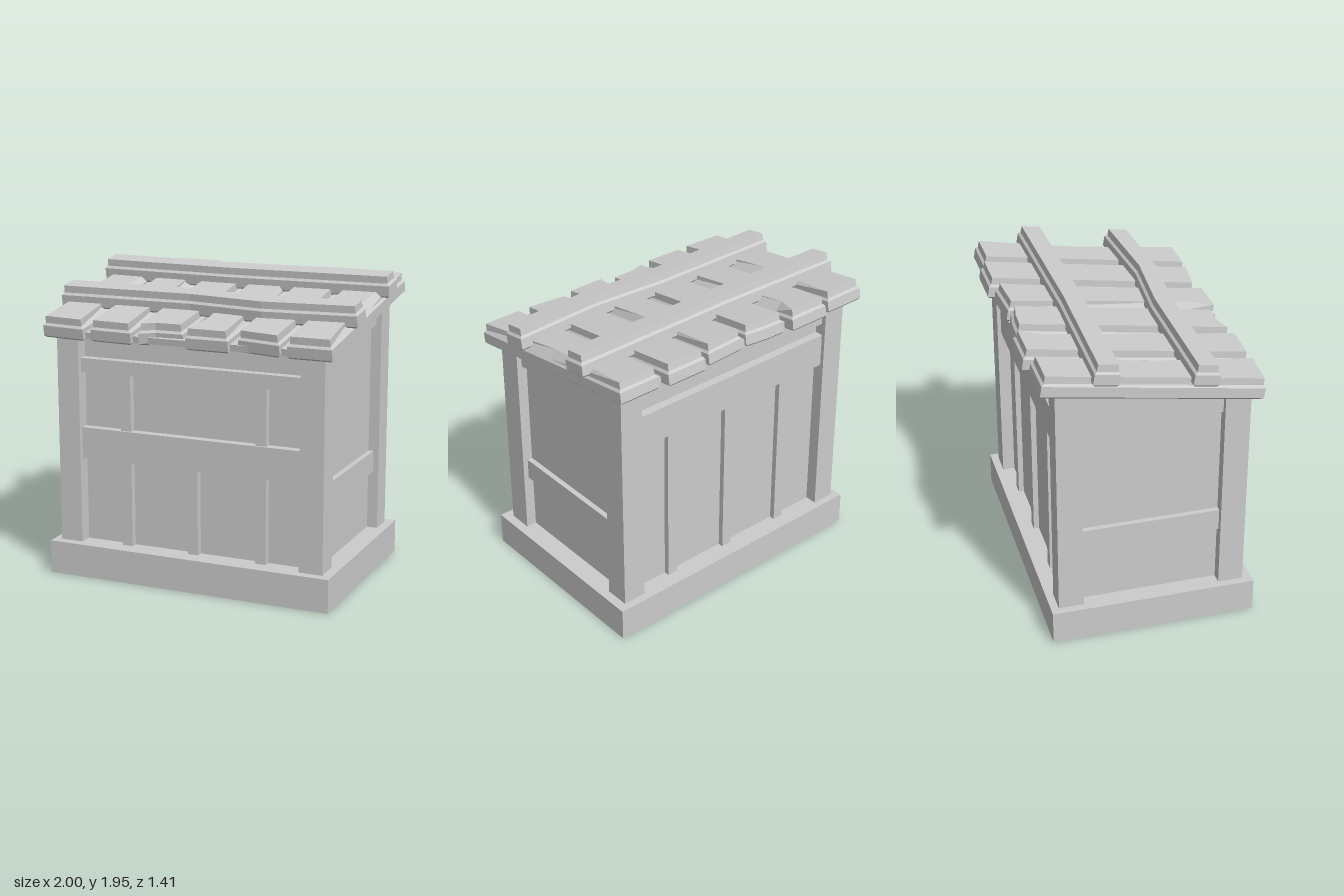
import * as THREE from 'three';

const material = new THREE.MeshStandardMaterial({ color: 0xcccccc, flatShading: true });

// Underside of the sloping roof: high at the back, low at the front
const PITCH = Math.atan(0.155);
const EAVE = 1.655;
const roofY = (z) => EAVE - 0.155 * z;

// Box between limits; y limits may be functions of z for sloping ends
function block(name, [x0, x1], [y0, y1], [z0, z1]) {
  const geo = new THREE.BoxGeometry(1, 1, 1);
  const p = geo.attributes.position;
  const at = (v, z) => (typeof v === 'function' ? v(z) : v);
  for (let i = 0; i < p.count; i++) {
    const x = p.getX(i) < 0 ? x0 : x1;
    const z = p.getZ(i) < 0 ? z0 : z1;
    p.setXYZ(i, x, at(p.getY(i) < 0 ? y0 : y1, z), z);
  }
  geo.computeVertexNormals();
  const mesh = new THREE.Mesh(geo, material);
  mesh.name = name;
  return mesh;
}

// Moves every edge of a plan outline inwards by t
function inset(outline, t) {
  const n = outline.length;
  const normal = (a, b) => {
    const dx = b[0] - a[0], dz = b[1] - a[1], l = Math.hypot(dx, dz);
    return [dz / l, -dx / l];
  };
  return outline.map((p, i) => {
    const a = normal(outline[(i + n - 1) % n], p);
    const b = normal(p, outline[(i + 1) % n]);
    const k = t / (1 + a[0] * b[0] + a[1] * b[1]);
    return [p[0] + (a[0] + b[0]) * k, p[1] + (a[1] + b[1]) * k];
  });
}

// Hewn board: bevelled lower layer with a narrower layer on top.
// Outline points are [x, z, shift of the top edge in x].
function board(name, outline, base) {
  const mid = base + 0.05;
  const plan = outline.map(([x, z]) => [x, (z - mid * Math.sin(PITCH)) / Math.cos(PITCH)]);
  const levels = [[0, 0.012], [0.012, 0], [0.078, 0], [0.092, 0.014], [0.137, 0.016]];
  const rings = levels.map(([h, t], k) =>
    inset(plan, t).map(([x, z], i) => {
      const shift = k === levels.length - 1 ? outline[i][2] || 0 : 0;
      return [x + shift, base + h, z];
    }));
  const pos = [];
  const tri = (a, b, c) => pos.push(...a, ...b, ...c);
  const n = outline.length;
  for (let k = 0; k < rings.length - 1; k++) {
    for (let i = 0; i < n; i++) {
      const j = (i + 1) % n;
      tri(rings[k][i], rings[k][j], rings[k + 1][j]);
      tri(rings[k][i], rings[k + 1][j], rings[k + 1][i]);
    }
  }
  const cap = (ring, up) => {
    const flat = ring.map(([x, , z]) => new THREE.Vector2(x, -z));
    for (const [a, b, c] of THREE.ShapeUtils.triangulateShape(flat, [])) {
      if (up) tri(ring[a], ring[b], ring[c]);
      else tri(ring[a], ring[c], ring[b]);
    }
  };
  cap(rings[0], false);
  cap(rings[rings.length - 1], true);
  const geo = new THREE.BufferGeometry();
  geo.setAttribute('position', new THREE.Float32BufferAttribute(pos, 3));
  geo.computeVertexNormals();
  const mesh = new THREE.Mesh(geo, material);
  mesh.name = name;
  return mesh;
}

function createWalls() {
  const walls = new THREE.Group();
  walls.name = 'walls';
  const under = (d) => (z) => roofY(z) - d;
  const top = under(-0.012);
  const inner = [-0.76, 0.735];
  const floor = 0.2;

  // Inset wall panels as one solid core
  walls.add(block('wallPanels', [-0.84, 0.82], [floor, top], [-0.5, 0.53]));

  // Corner posts
  for (const x of [[-0.91, -0.76], [0.735, 0.89]])
    for (const z of [[-0.58, -0.42], [0.46, 0.62]])
      walls.add(block('cornerPost', x, [floor, top], z));

  // Front rails and studs
  const frontRail = [0.5, 0.59], frontStud = [0.5, 0.575];
  walls.add(block('frontMiddleRail', inner, [0.765, 0.97], frontRail));
  walls.add(block('frontTopRail', inner, [1.33, 1.42], frontRail));
  const studs = [-0.455, 0.005, 0.465];
  for (const x of studs) {
    const w = [x - 0.035, x + 0.035];
    walls.add(block('frontLowerStud', w, [floor, 0.78], frontStud));
    if (x !== studs[1]) walls.add(block('frontUpperStud', w, [0.96, 1.34], frontStud));
    walls.add(block('backStud', w, [floor, 1.32], [-0.535, -0.47]));
  }

  // Back rails
  walls.add(block('backRail', inner, [1.3, 1.52], [-0.555, -0.47]));
  walls.add(block('backTopBeam', inner, [1.6, top], [-0.55, -0.47]));

  // Side rails, the upper ones following the roof
  for (const x of [[-0.875, -0.8], [0.78, 0.855]]) {
    walls.add(block('sideRail', x, [0.6, 0.74], [-0.43, 0.47]));
    walls.add(block('sideTopRail', x, [under(0.135), top], [-0.43, 0.47]));
  }
  return walls;
}

function createRoof() {
  const roof = new THREE.Group();
  roof.name = 'roof';
  roof.position.y = EAVE;
  roof.rotation.x = PITCH;

  // Sheet closing the gaps between the planks
  roof.add(block('roofSheet', [-0.92, 0.92], [0.008, 0.05], [-0.64, 0.67]));

  // Planks running down the slope, each hewn a little differently
  const planks = [
    [[-0.96, -0.67], [-0.97, 0.68], [-0.68, 0.7], [-0.68, 0, -0.05], [-0.68, -0.67]],
    [[-0.63, -0.7], [-0.63, 0.69], [-0.35, 0.7], [-0.35, -0.54, -0.05], [-0.35, -0.7]],
    [[-0.3, -0.67], [-0.3, 0.69], [-0.2, 0.65], [-0.02, 0.645], [-0.02, -0.64], [-0.16, -0.665]],
    [[0.02, -0.65], [0.03, 0.5, 0.03], [0.02, 0.7], [0.3, 0.7], [0.3, 0, -0.025], [0.3, -0.67]],
    [[0.35, -0.7], [0.35, 0.66], [0.63, 0.7], [0.63, -0.7]],
    [[0.68, -0.67], [0.68, 0.7], [0.96, 0.7], [0.96, 0, -0.045], [0.96, -0.67]],
  ];
  for (const outline of planks) roof.add(board('roofPlank', outline, 0));

  // Two bent battens laid across the planks
  roof.add(board('backBatten', [[-1, -0.37], [-1, -0.215], [-0.1, -0.195], [1, -0.215],
    [1, -0.37], [-0.1, -0.35]], 0.1));
  roof.add(board('frontBatten', [[-1, 0.23], [-1, 0.385], [-0.1, 0.375], [0.4, 0.42],
    [1, 0.385], [1, 0.23], [0.4, 0.275], [-0.1, 0.23]], 0.1));
  return roof;
}

export function createModel() {
  const model = new THREE.Group();
  model.name = 'shed';
  model.add(block('basePlinth', [-0.96, 0.95], [0, 0.215], [-0.63, 0.68]));
  model.add(createWalls(), createRoof());
  return model;
}
